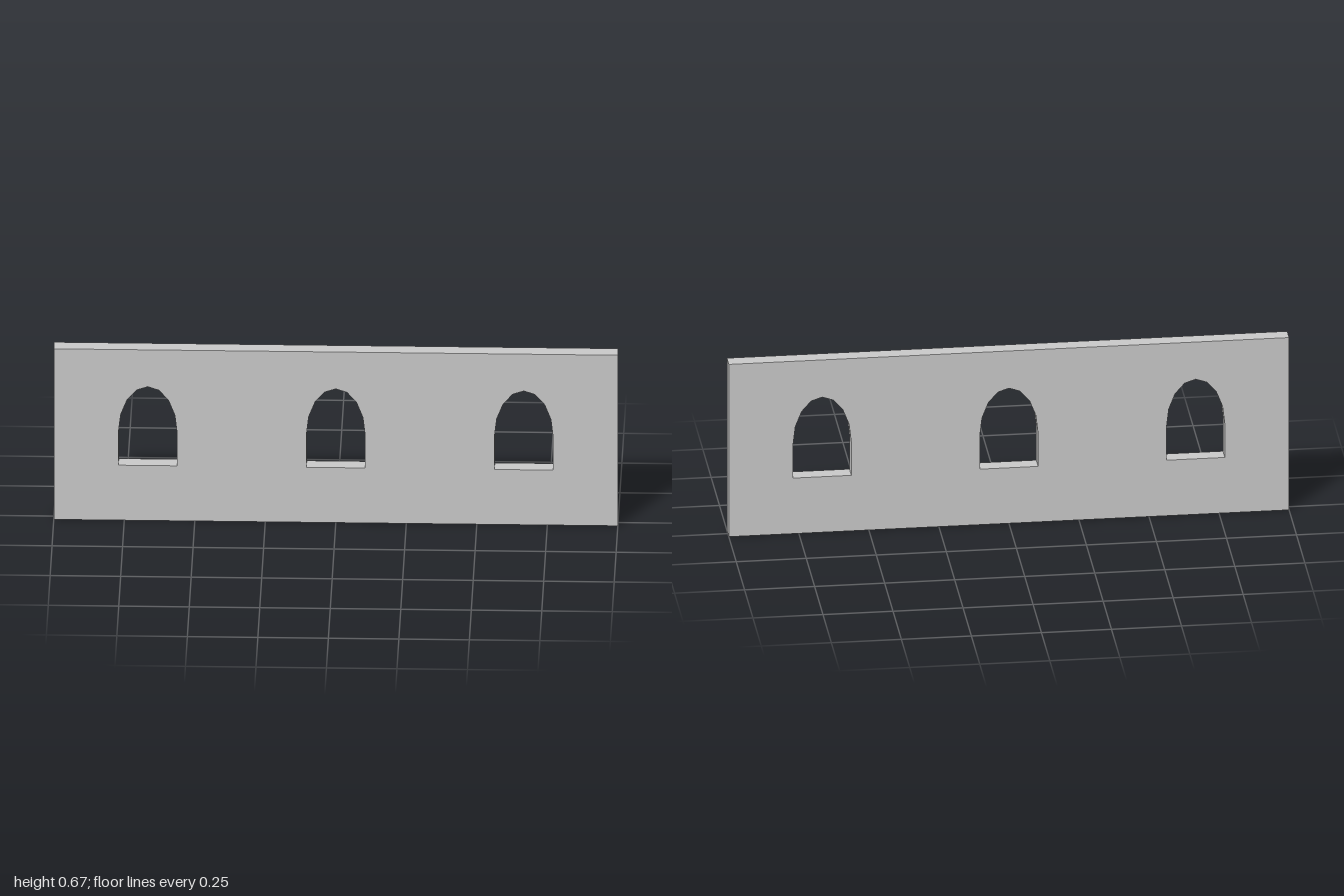
import * as THREE from 'three';

const WIDTH = 2, HEIGHT = 0.667, DEPTH = 0.056;
const SILL = 0.215, SPRING = 0.345, RISE = 0.178, HALF = 0.104;
const ARCH_SEGMENTS = 8;

// Window outline: straight jambs under a half-elliptical, faceted arch
function archedOpening(cx) {
  const points = [new THREE.Vector2(cx - HALF, SILL), new THREE.Vector2(cx + HALF, SILL)];
  for (let i = 0; i <= ARCH_SEGMENTS; i++) {
    const a = (i / ARCH_SEGMENTS) * Math.PI;
    points.push(new THREE.Vector2(cx + HALF * Math.cos(a), SPRING + RISE * Math.sin(a)));
  }
  return new THREE.Path(points);
}

export function createModel() {
  const group = new THREE.Group();
  group.name = 'windowedWall';

  // Wall panel with three evenly spaced arched windows
  const outline = new THREE.Shape([
    new THREE.Vector2(-WIDTH / 2, 0),
    new THREE.Vector2(WIDTH / 2, 0),
    new THREE.Vector2(WIDTH / 2, HEIGHT),
    new THREE.Vector2(-WIDTH / 2, HEIGHT),
  ]);
  for (const i of [-1, 0, 1]) outline.holes.push(archedOpening((i * WIDTH) / 3));

  const geometry = new THREE.ExtrudeGeometry(outline, { depth: DEPTH, bevelEnabled: false });
  geometry.translate(0, 0, -DEPTH / 2);

  const wall = new THREE.Mesh(
    geometry,
    new THREE.MeshStandardMaterial({ color: 0xcccccc, flatShading: true })
  );
  wall.name = 'wall';
  group.add(wall);
  return group;
}
